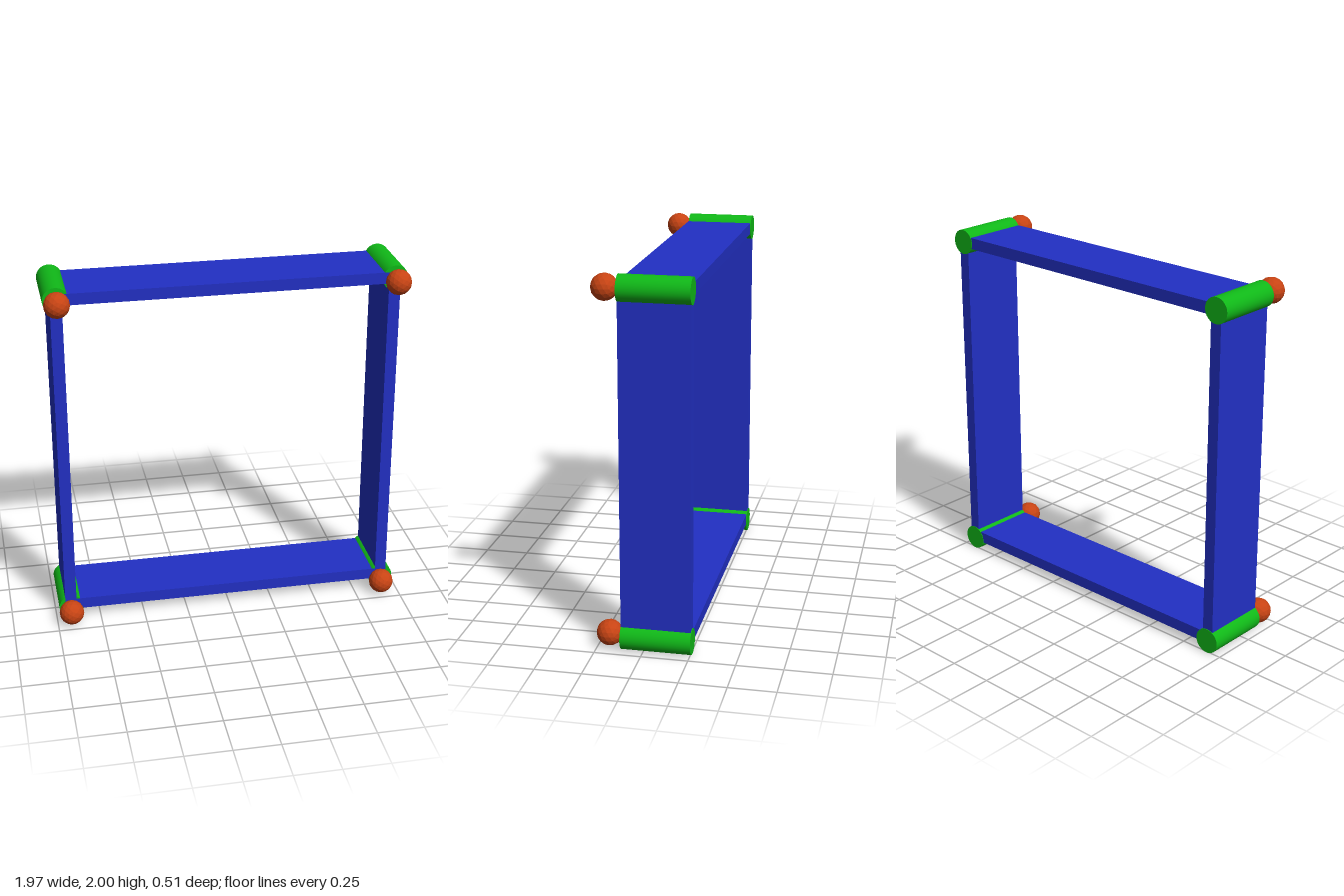
import * as THREE from 'three';

export function createModel() {
  const model = new THREE.Group();
  const blue = new THREE.MeshStandardMaterial({ color: 0x2230c4 });
  const green = new THREE.MeshStandardMaterial({ color: 0x10b818 });
  const orange = new THREE.MeshStandardMaterial({ color: 0xc84414, flatShading: true });

  const add = (name, geometry, material, x, y, z) => {
    const mesh = new THREE.Mesh(geometry, material);
    mesh.name = name;
    mesh.position.set(x, y, z);
    model.add(mesh);
    return mesh;
  };

  const depth = 0.375, midZ = -0.07, thick = 0.064;

  // Four flat boards forming the square frame, ending inside the corner posts
  const across = new THREE.BoxGeometry(1.83, thick, depth - 0.002);
  const upright = new THREE.BoxGeometry(thick, 1.85, depth - 0.002);
  add('topBoard', across, blue, 0, 1.932, midZ + 0.002);
  add('bottomBoard', across, blue, 0, 0.087, midZ + 0.002);
  add('rightBoard', upright, blue, -0.917, 1.01, midZ + 0.002);
  add('leftBoard', upright, blue, 0.912, 1.01, midZ + 0.002);

  // Round rod through each corner, running front to back
  const rod = new THREE.CylinderGeometry(0.07, 0.07, depth, 32).rotateX(Math.PI / 2);
  const rods = [
    ['topRightRod', -0.918, 1.93], ['topLeftRod', 0.915, 1.93],
    ['bottomRightRod', -0.914, 0.07], ['bottomLeftRod', 0.912, 0.07],
  ];
  for (const [name, x, y] of rods) add(name, rod, green, x, y, midZ);

  // Faceted knob in front of each rod
  const knob = new THREE.IcosahedronGeometry(0.07, 2);
  const knobs = [
    ['topRightKnob', -0.918, 1.931], ['topLeftKnob', 0.912, 1.931],
    ['bottomRightKnob', -0.92, 0.076], ['bottomLeftKnob', 0.897, 0.076],
  ];
  for (const [name, x, y] of knobs) add(name, knob, orange, x, y, 0.188);

  return model;
}
